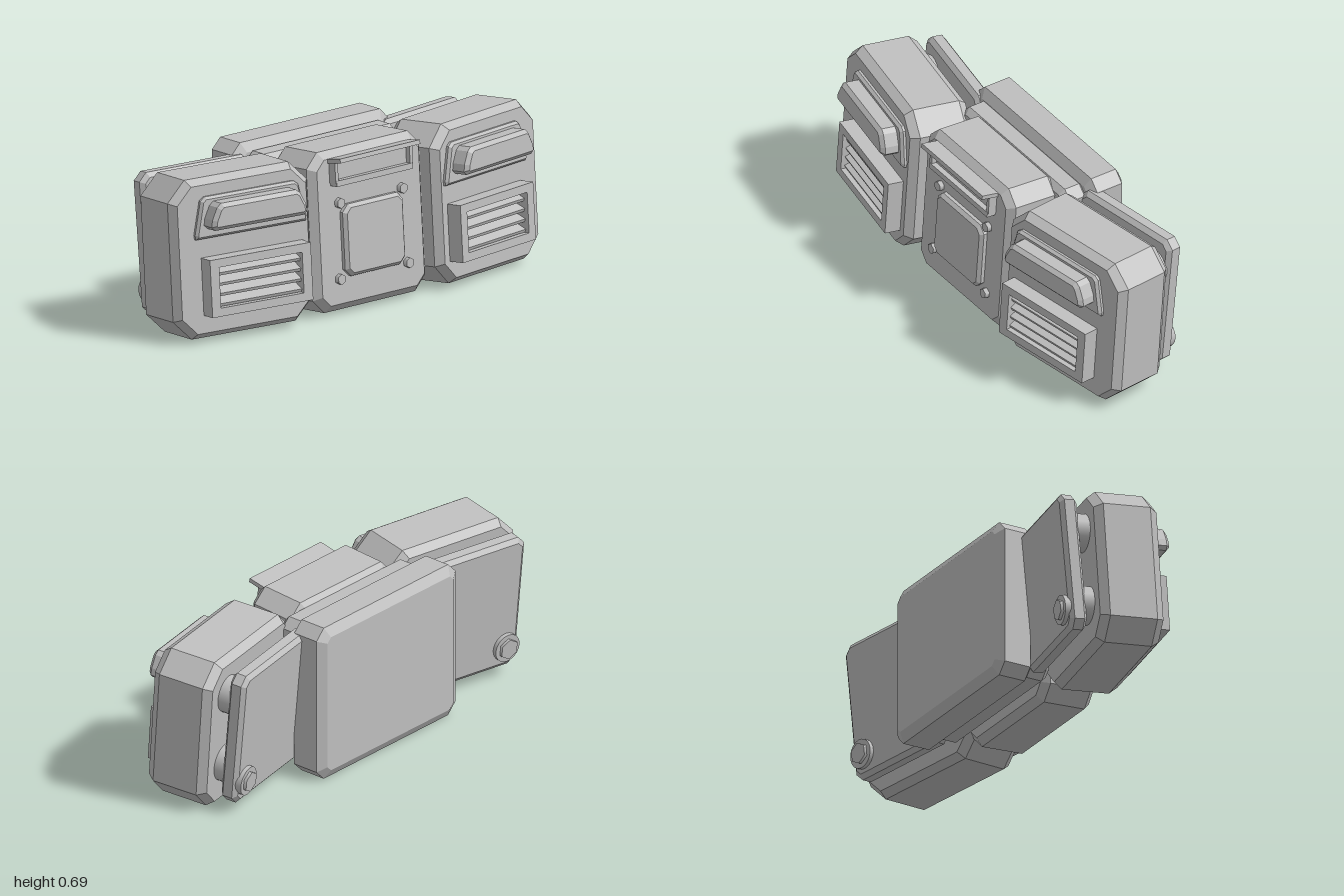
import * as THREE from 'three';

const rad = THREE.MathUtils.degToRad;
const grey = new THREE.MeshStandardMaterial({ color: 0xbfbfbf });
grey.name = 'grey';

function add(parent, geometry, name, x = 0, y = 0, z = 0) {
  const mesh = new THREE.Mesh(geometry, grey);
  mesh.name = name;
  mesh.position.set(x, y, z);
  parent.add(mesh);
  return mesh;
}

function addGroup(parent, name, x, y, z) {
  const group = new THREE.Group();
  group.name = name;
  group.position.set(x, y, z);
  parent.add(group);
  return group;
}

// Outline extruded to total depth d with one bevel step, centred on z
function slab(points, d, size, thick, hole) {
  const shape = new THREE.Shape(points.map(([x, y]) => new THREE.Vector2(x, y)));
  if (hole) shape.holes.push(new THREE.Path(hole.map(([x, y]) => new THREE.Vector2(x, y))));
  const depth = d - 2 * thick;
  const geometry = new THREE.ExtrudeGeometry(shape, {
    depth, bevelEnabled: size > 0, bevelSegments: 1,
    bevelSize: size, bevelThickness: thick, bevelOffset: -size,
  });
  return geometry.translate(0, 0, -depth / 2);
}

// Rectangle with cut corners
function octagon(w, h, c) {
  const x = w / 2, y = h / 2;
  return [[-x + c, -y], [x - c, -y], [x, -y + c], [x, y - c],
    [x - c, y], [-x + c, y], [-x, y - c], [-x, -y + c]];
}

const rectangle = (w, h) => [[-w / 2, -h / 2], [w / 2, -h / 2], [w / 2, h / 2], [-w / 2, h / 2]];

const disc = (r, d, sides) => new THREE.CylinderGeometry(r, r, d, sides).rotateX(Math.PI / 2);

// Louvred vent with a hollow frame
function addVent(pod, x, y, z) {
  const vent = addGroup(pod, 'vent', x, y, z);
  add(vent, slab(rectangle(0.485, 0.24), 0.08, 0, 0, rectangle(0.4, 0.17)), 'ventFrame');
  for (let i = 0; i < 4; i++) {
    const slat = add(vent, new THREE.BoxGeometry(0.4, 0.014, 0.058), 'ventSlat', 0, 0.064 - i * 0.043, -0.005);
    slat.rotation.x = 0.42;
  }
}

// Raised lamp on a trapezoid plate
function addLamp(pod, x, y, z) {
  const lamp = addGroup(pod, 'lamp', x, y, z);
  add(lamp, slab([[-0.265, -0.088], [0.265, -0.088], [0.268, -0.07], [0.235, 0.07],
    [0.215, 0.085], [-0.215, 0.085], [-0.235, 0.07], [-0.268, -0.07]], 0.05, 0.01, 0.012), 'lampPlate');
  add(lamp, slab([[-0.215, -0.05], [0.215, -0.05], [0.23, -0.035], [0.225, -0.005], [0.2, 0.045],
    [0.18, 0.06], [-0.18, 0.06], [-0.2, 0.045], [-0.225, -0.005], [-0.23, -0.035]], 0.12, 0.016, 0.016), 'lampLens', 0, 0.005, 0.04);
}

export function createModel() {
  const model = new THREE.Group();
  model.name = 'beltPack';

  // Front row leans back slightly
  const front = addGroup(model, 'frontRow', 0, 0.35, 0);
  front.rotation.x = rad(-4);

  // Centre block with hatch and bolts
  const centre = addGroup(front, 'centreBlock', 0, 0, 0.085);
  add(centre, slab(octagon(0.62, 0.67, 0.06), 0.25, 0.03, 0.03), 'centreBody');
  add(centre, slab(octagon(0.33, 0.3, 0.03), 0.05, 0.014, 0.014), 'hatch', 0, -0.045, 0.13);
  for (const s of [-1, 1]) {
    add(centre, disc(0.022, 0.03, 6), 'hatchBolt', s * 0.172, 0.115, 0.13);
    add(centre, disc(0.022, 0.03, 6), 'hatchBolt', s * 0.188, -0.2, 0.13);
  }

  // Channel-shaped hood at the top of the centre block
  const hood = addGroup(centre, 'hood', 0, 0.25, 0.12);
  add(hood, new THREE.BoxGeometry(0.4, 0.1, 0.03), 'hoodBack', 0, 0.005, 0.005);
  add(hood, new THREE.BoxGeometry(0.44, 0.018, 0.085), 'hoodTop', 0, 0.052, 0.042).rotation.x = rad(-8);
  add(hood, new THREE.BoxGeometry(0.42, 0.024, 0.05), 'hoodLip', 0, -0.045, 0.02);
  for (const s of [-1, 1]) {
    add(hood, new THREE.BoxGeometry(0.016, 0.095, 0.045), 'hoodEnd', s * 0.205, 0.003, 0.02);
  }

  for (const s of [-1, 1]) {
    const side = s > 0 ? 'left' : 'right';

    // Angled side pod
    const pod = addGroup(front, side + 'Pod', s * 0.65, 0, 0.05);
    pod.rotation.y = s * rad(10);
    add(pod, slab(octagon(0.67, 0.665, 0.085), 0.275, 0.025, 0.035), 'podBody');
    addLamp(pod, s * -0.03, 0.175, 0.135);
    addVent(pod, s * -0.035, -0.113, 0.165);

    // Rear plate with spacers to the pod and a bolt behind
    const plate = addGroup(model, side + 'RearPlate', s * 0.62, 0.355, -0.168);
    plate.rotation.set(rad(-5.5), s * rad(10), 0);
    add(plate, slab(octagon(0.53, 0.595, 0.035), 0.075, 0.02, 0.016), 'plateBody');
    for (const y of [0.155, -0.165]) {
      add(plate, disc(0.08, 0.1, 24), 'spacer', s * 0.175, y, 0.06);
    }
    add(plate, disc(0.062, 0.03, 24), 'boltWasher', s * 0.195, -0.2, -0.04);
    add(plate, disc(0.045, 0.04, 6), 'boltHead', s * 0.195, -0.2, -0.048);
  }

  // Spine joining the centre block to the back box
  add(model, slab(octagon(0.77, 0.61, 0.04), 0.12, 0.025, 0.025), 'spine', 0, 0.36, -0.09);

  // Large back box
  add(model, slab(octagon(0.86, 0.685, 0.045), 0.17, 0.04, 0.025), 'backBox', 0, 0.357, -0.218);

  return model;
}
